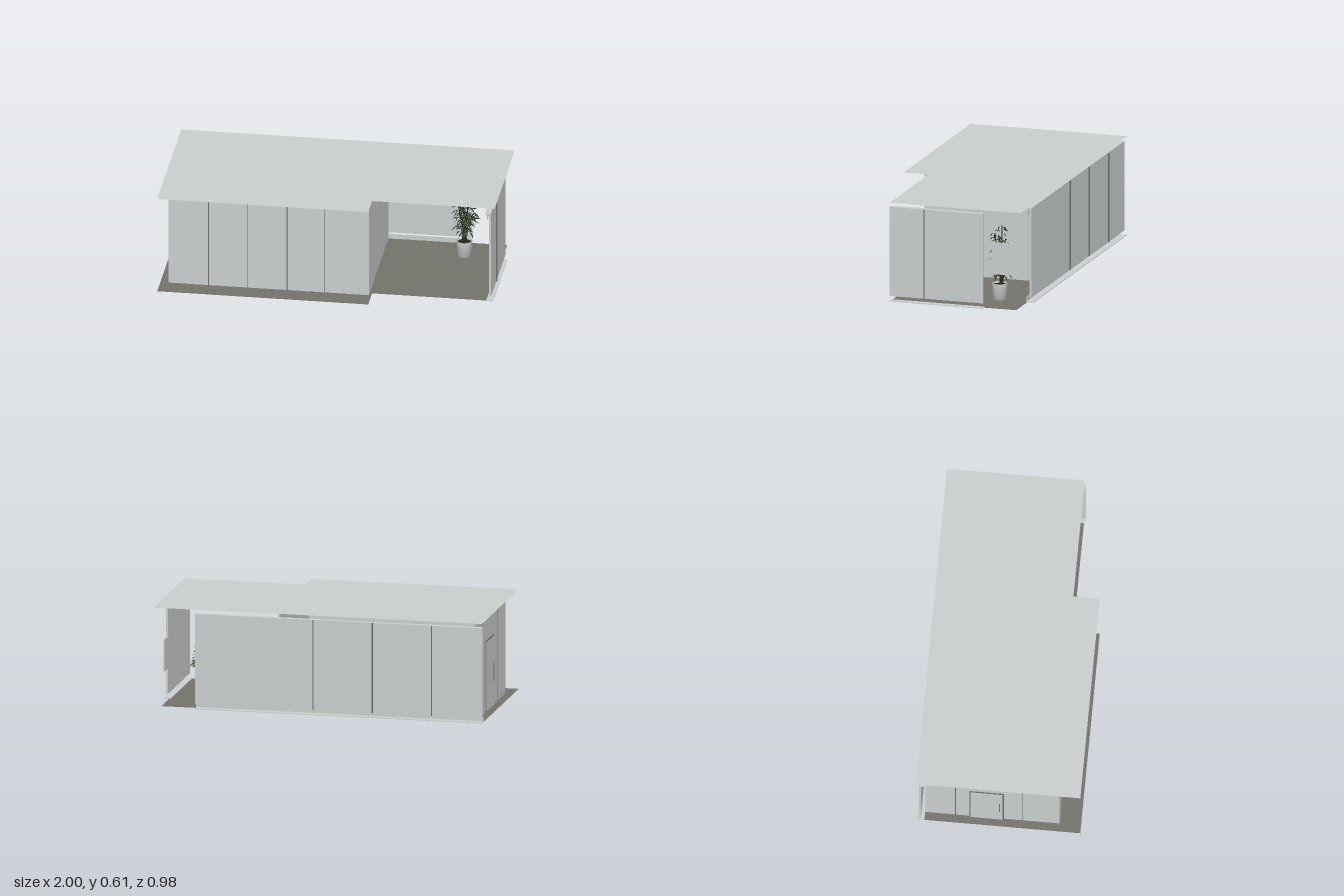
import * as THREE from 'three';

export function createModel() {
  const model = new THREE.Group();
  const mat = (name, color, side = THREE.FrontSide) => {
    const m = new THREE.MeshStandardMaterial({ color, side });
    m.name = name;
    return m;
  };
  const panel = mat('pale grey panel', 0xc8cccc);
  const sheet = mat('pale grey sheet', 0xc8cccc, THREE.DoubleSide);
  const stone = mat('floor stone', 0x72716a, THREE.DoubleSide);
  const dark = mat('dark joint', 0x6a6d6d);
  const potMat = mat('white pot', 0xcccccc);
  const soilMat = mat('soil', 0x2d261c);
  const stemMat = mat('stem', 0x2e2d18);
  const leafMat = mat('leaf green', 0x222f17, THREE.DoubleSide);

  const add = (name, geo, material, parent = model) => {
    const m = new THREE.Mesh(geo, material);
    m.name = name;
    parent.add(m);
    return m;
  };
  // Box given by its lower and upper corners
  const box = (name, a, b, material = panel) => {
    const m = add(name, new THREE.BoxGeometry(b[0] - a[0], b[1] - a[1], b[2] - a[2]), material);
    m.position.set((a[0] + b[0]) / 2, (a[1] + b[1]) / 2, (a[2] + b[2]) / 2);
    return m;
  };
  // L-shaped horizontal sheet
  const slab = (name, x1, z0, y, material) => {
    const s = new THREE.Shape([[-1, z0], [x1, z0], [x1, 0.33], [0.265, 0.33], [0.265, 0.487], [-1, 0.487]]
      .map(([x, z]) => new THREE.Vector2(x, z)));
    add(name, new THREE.ShapeGeometry(s).rotateX(Math.PI / 2), material).position.y = y;
  };

  slab('roof', 1, -0.49, 0.605, sheet);
  slab('floor', 0.96, -0.45, 0, stone);

  // Enclosed room: front, side and inner walls
  const T = 0.604;
  box('frontWall', [-0.95, 0.001, 0.352], [0.25, T, 0.36]);
  box('doorWall', [-0.95, 0.001, -0.44], [-0.942, T, 0.352]);
  box('innerWall', [0.242, 0.001, -0.44], [0.25, T, 0.352]);
  for (const x of [-0.71, -0.475, -0.24]) {
    box('frontJoint', [x - 0.002, 0.002, 0.36], [x + 0.002, 0.603, 0.367], dark);
  }
  box('frontJoint', [-0.016, 0.002, 0.36], [-0.014, 0.603, 0.363], dark);
  for (const z of [-0.26, 0.14]) {
    box('sideJoint', [-0.954, 0.002, z - 0.002], [-0.95, 0.603, z + 0.002], dark);
  }

  // Door with frame and handle
  box('doorFrame', [-0.955, 0.001, -0.178], [-0.95, 0.43, 0.028], dark);
  box('door', [-0.958, 0.004, -0.17], [-0.954, 0.422, 0.02]);
  box('doorHandle', [-0.964, 0.15, 0], [-0.958, 0.27, 0.006], dark);

  // Screens at the back and side, with headers and floor tracks
  box('backScreen', [-1, 0.03, -0.474], [0.75, 0.575, -0.462]);
  for (const x of [0.03, -0.33, -0.69]) {
    box('backJoint', [x - 0.003, 0.03, -0.481], [x + 0.003, 0.575, -0.474], dark);
  }
  box('backRail', [-1, 0.565, -0.462], [0.75, 0.575, -0.443]);
  box('backCurb', [-1, 0, -0.444], [0.75, 0.03, -0.44]);
  box('backTrack', [-1, 0, -0.488], [0.75, 0.004, -0.444]);
  box('backHeader', [-0.94, 0.53, -0.45], [0.385, 0.565, -0.447]);
  box('backHeader', [0.4, 0.53, -0.45], [0.745, 0.565, -0.447]);

  box('sideScreen', [0.966, 0.03, -0.247], [0.979, 0.575, 0.336]);
  box('sideJoint', [0.979, 0.03, 0.117], [0.986, 0.575, 0.123], dark);
  box('sideRail', [0.945, 0.565, -0.247], [0.966, 0.575, 0.336]);
  box('sideHeader', [0.953, 0.53, -0.24], [0.956, 0.565, 0.33]);
  box('sideTrack', [0.95, 0, -0.247], [0.992, 0.004, 0.336]);

  // Hanging board in the open corner
  box('board', [0.944, 0.206, -0.44], [0.948, 0.4, -0.292]);

  // Potted plant
  const plant = new THREE.Group();
  plant.name = 'plant';
  plant.position.set(0.73, 0, -0.27);
  model.add(plant);
  const profile = [[0, 0.001], [0.037, 0.001], [0.046, 0.1], [0.042, 0.1], [0.041, 0.088]]
    .map(([r, y]) => new THREE.Vector2(r, y));
  const potSide = potMat.clone();
  add('pot', new THREE.LatheGeometry(profile, 24), potMat);
  plant.add(model.children[model.children.length - 1]);
  add('soil', new THREE.CircleGeometry(0.041, 24).rotateX(-Math.PI / 2), soilMat, plant).position.y = 0.09;

  let seed = 7;
  const rnd = () => (seed = (seed * 16807) % 2147483647) / 2147483647;

  // Curved leaf blade pointing along +z
  const leafGeo = new THREE.PlaneGeometry(1, 1, 2, 4).rotateX(Math.PI / 2);
  const p = leafGeo.attributes.position;
  for (let i = 0; i < p.count; i++) {
    const t = p.getZ(i) + 0.5;
    const w = 0.5 * Math.sin(Math.PI * Math.pow(t, 0.8));
    const side = p.getX(i);
    p.setXYZ(i, side * w, Math.abs(side) * w * 0.35 - t * t * 0.35, t);
  }
  leafGeo.computeVertexNormals();

  // Stems fan out from the pot and carry spirals of leaves
  const tips = [[-0.01, 0.45, -0.01], [0.03, 0.41, 0.02], [-0.04, 0.38, 0.02], [0.02, 0.37, -0.04], [0.05, 0.27, -0.02], [-0.03, 0.31, -0.03]];
  for (const [x, y, z] of tips) {
    const curve = new THREE.CatmullRomCurve3([
      new THREE.Vector3(x * 0.2, 0.085, z * 0.2 - 0.01),
      new THREE.Vector3(x * 0.3, 0.17, z * 0.4 - 0.01),
      new THREE.Vector3(x, y, z)]);
    add('stem', new THREE.TubeGeometry(curve, 8, 0.0035, 5), stemMat, plant);
    const n = 30;
    for (let i = 0; i < n; i++) {
      const start = (0.21 - 0.085) / (y - 0.085);
      const leaf = add('leaf', leafGeo, leafMat, plant);
      leaf.position.copy(curve.getPoint(start + (1 - start) * (i / (n - 1))));
      const a = i * 2.4 + rnd();
      const out = rnd() * 0.025;
      leaf.position.x += Math.sin(a) * out;
      leaf.position.z += Math.cos(a) * out;
      leaf.rotation.set(rnd() * 1.1 - 0.35, a, (rnd() - 0.5) * 0.8, 'YXZ');
      const len = 0.028 + rnd() * 0.02;
      leaf.scale.set(len * 0.5, len, len);
    }
  }
  potSide.dispose();
  return model;
}
